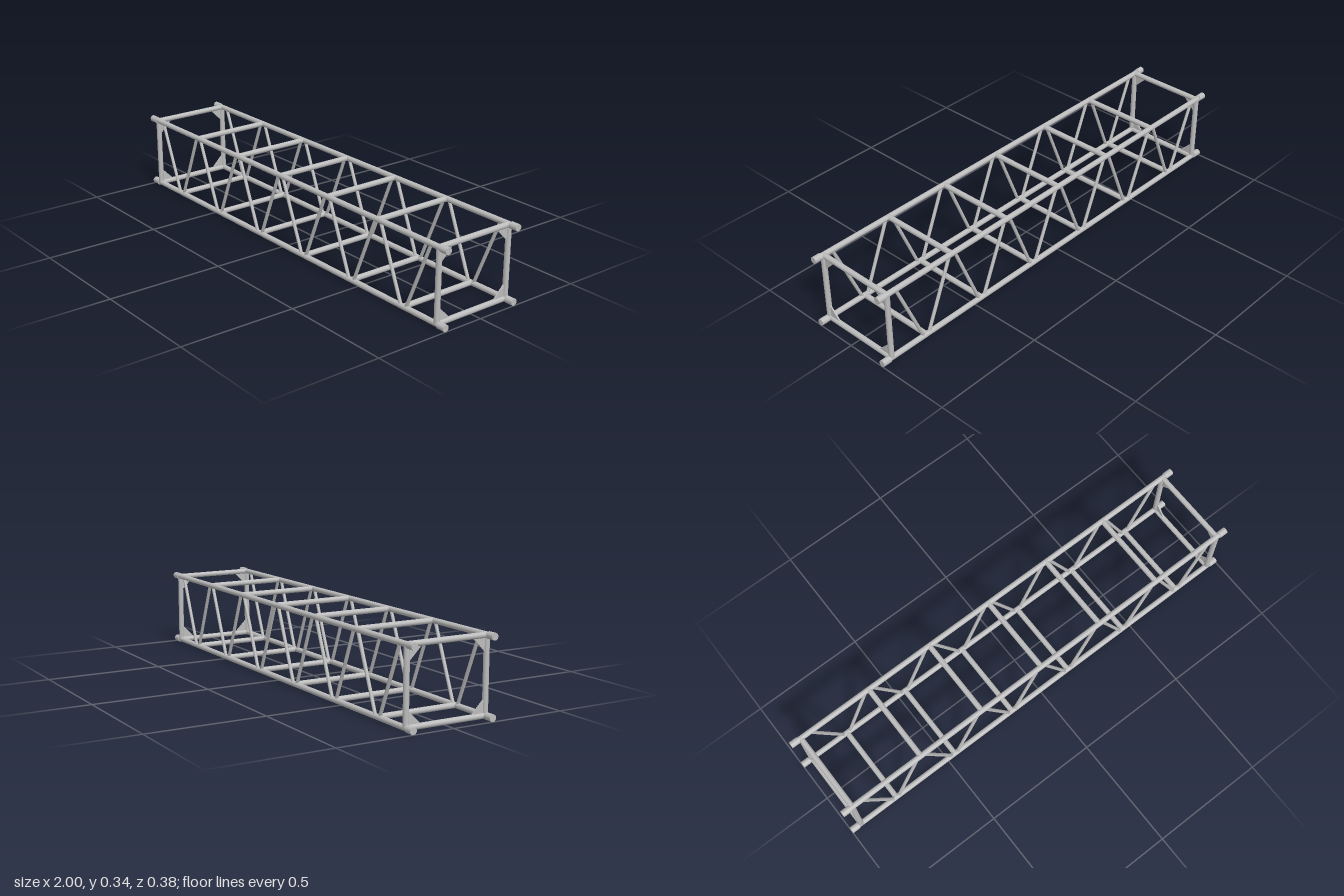
import * as THREE from 'three';

const HALF_Z = 0.178, LOW = 0.0145, HIGH = 0.3205; // chord centre lines
const TUBE = 0.0116, BRACE = 0.0072, SLEEVE = 0.0145; // radii
const END_X = 0.951, PITCH = 0.1537;

export function createModel() {
  const model = new THREE.Group();
  model.name = 'boxTruss';
  const metal = new THREE.MeshStandardMaterial({ color: 0xbcbcbc });
  metal.name = 'aluminium grey';

  const add = (parent, name, geometry) => {
    const mesh = new THREE.Mesh(geometry, metal);
    mesh.name = name;
    parent.add(mesh);
    return mesh;
  };

  // Round bar between two points
  const bar = (parent, name, a, b, radius, sides = 20) => {
    const from = new THREE.Vector3(...a), to = new THREE.Vector3(...b);
    const dir = to.clone().sub(from);
    const mesh = add(parent, name, new THREE.CylinderGeometry(radius, radius, dir.length(), sides));
    mesh.position.copy(from).add(to).multiplyScalar(0.5);
    mesh.quaternion.setFromUnitVectors(new THREE.Vector3(0, 1, 0), dir.normalize());
  };

  // Four long chords with thicker end sleeves
  const chords = new THREE.Group();
  chords.name = 'chords';
  model.add(chords);
  for (const y of [LOW, HIGH]) for (const s of [-1, 1]) {
    const z = s * HALF_Z;
    bar(chords, 'chord', [-0.98, y, z], [0.98, y, z], TUBE, 24);
    for (const e of [-1, 1]) bar(chords, 'endSleeve', [e * 0.963, y, z], [e, y, z], SLEEVE, 24);
  }

  // Corner gusset: right triangle in the end-frame plane
  const leg = 0.072, thick = 0.006;
  const triangle = new THREE.Shape([
    new THREE.Vector2(0, 0), new THREE.Vector2(leg, 0), new THREE.Vector2(0, leg),
  ]);
  const gusset = new THREE.ExtrudeGeometry(triangle, { depth: thick, bevelEnabled: false });
  gusset.translate(0, 0, -thick / 2);

  // End frames: posts, cross bars and gussets
  for (const e of [-1, 1]) {
    const frame = new THREE.Group();
    frame.name = e > 0 ? 'leftEndFrame' : 'rightEndFrame';
    model.add(frame);
    const x = e * END_X;
    for (const s of [-1, 1])
      bar(frame, 'post', [x, LOW, s * HALF_Z], [x, HIGH, s * HALF_Z], TUBE);
    for (const y of [LOW, HIGH])
      bar(frame, 'endCrossBar', [x, y, -HALF_Z], [x, y, HALF_Z], TUBE);
    const corners = [[HALF_Z, LOW], [HALF_Z, HIGH], [-HALF_Z, HIGH], [-HALF_Z, LOW]];
    corners.forEach(([z, y], i) => {
      const plate = add(frame, 'gusset', gusset);
      plate.position.set(x, y, z);
      plate.rotation.order = 'YXZ';
      plate.rotation.set(0, Math.PI / 2, [0, -1, 2, 1][i] * Math.PI / 2);
    });
  }

  // Cross bars at the panel points, alternating bottom and top
  const web = new THREE.Group();
  web.name = 'web';
  model.add(web);
  for (let i = -5; i <= 5; i++) {
    const y = i % 2 ? LOW : HIGH;
    bar(web, 'crossBar', [i * PITCH, y, -HALF_Z], [i * PITCH, y, HALF_Z], TUBE);
  }

  // Zigzag diagonals on the front and back sides
  const gap = 0.0135;
  for (const s of [-1, 1]) for (let i = -6; i < 6; i++) {
    const [y0, y1] = i % 2 ? [LOW, HIGH] : [HIGH, LOW];
    bar(web, 'diagonal', [i * PITCH + gap, y0, s * HALF_Z],
      [(i + 1) * PITCH - gap, y1, s * HALF_Z], BRACE, 16);
  }

  return model;
}
